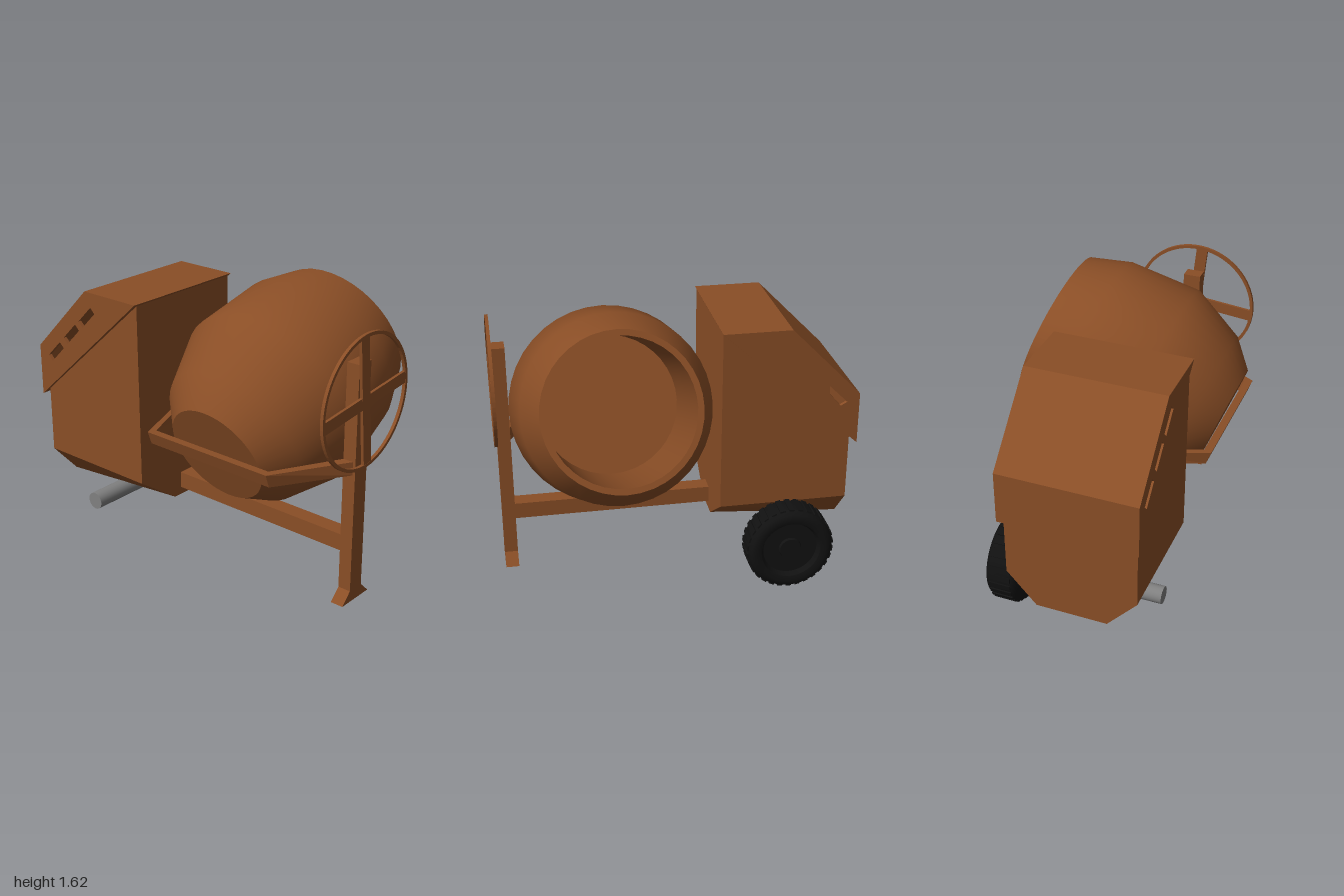
import * as THREE from 'three';
import { toCreasedNormals } from 'three/addons/utils/BufferGeometryUtils.js';
import { ConvexGeometry } from 'three/addons/geometries/ConvexGeometry.js';

const V2 = (p) => new THREE.Vector2(p[0], p[1]);
const CX = -0.143; // shared centre line of post, beam and housing

export function createModel() {
  const model = new THREE.Group();
  const paint = new THREE.MeshStandardMaterial({ color: 0x8a4e26 });
  const rubber = new THREE.MeshStandardMaterial({ color: 0x111111 });
  const steel = new THREE.MeshStandardMaterial({ color: 0x808080 });
  paint.name = 'brownPaint';
  rubber.name = 'blackRubber';
  steel.name = 'greySteel';

  const add = (name, geometry, material, parent = model) => {
    const mesh = new THREE.Mesh(geometry, material);
    mesh.name = name;
    parent.add(mesh);
    return mesh;
  };
  const box = (name, x0, x1, y0, y1, z0, z1, parent) => {
    const mesh = add(name, new THREE.BoxGeometry(x1 - x0, y1 - y0, z1 - z0), paint, parent);
    mesh.position.set((x0 + x1) / 2, (y0 + y1) / 2, (z0 + z1) / 2);
    return mesh;
  };
  const extrude = (outline, depth, holes = []) => {
    const shape = new THREE.Shape(outline.map(V2));
    holes.forEach((h) => shape.holes.push(new THREE.Path(h.map(V2))));
    return new THREE.ExtrudeGeometry(shape, { depth, bevelEnabled: false, curveSegments: 32 });
  };
  // Side profile given as [z, y], spanning x0..x1
  const sideExtrude = (outline, x0, x1, holes) =>
    extrude(outline, x1 - x0, holes).rotateY(-Math.PI / 2).translate(x1, 0, 0);
  const lathe = (points, segments) =>
    toCreasedNormals(new THREE.LatheGeometry(points.map(V2), segments), 0.7);

  // Tilted mixing drum with a thick rim and a cylindrical mouth
  const drum = add('drum', lathe([
    [0, -0.428], [0.29, -0.428], [0.43, -0.283], [0.557, 0.034], [0.515, 0.445],
    [0.426, 0.672], [0.393, 0.672], [0.393, 0.02], [0, 0.02],
  ], 40), paint);
  drum.position.set(-0.14, 0.98, 0.35);
  drum.rotation.z = -THREE.MathUtils.degToRad(69);

  // Front post with flared foot, and the beam to the housing
  add('frontPost', extrude([
    [-0.26, 0.035], [-0.03, 0.035], [-0.095, 0.1], [-0.095, 1.38],
    [-0.195, 1.38], [-0.195, 0.1],
  ], 0.075).translate(0, 0, 0.907), paint);
  box('lowerBeam', -0.193, -0.097, 0.32, 0.415, -0.24, 0.91);

  // Tilting handwheel
  const handwheel = new THREE.Group();
  handwheel.name = 'handwheel';
  handwheel.position.set(-0.145, 1.173, 0.982);
  handwheel.rotation.z = 0.095;
  model.add(handwheel);
  const ring = new THREE.Shape().absarc(0, 0, 0.365, 0, Math.PI * 2);
  ring.holes.push(new THREE.Path().absarc(0, 0, 0.347, 0, Math.PI * 2, true));
  add('handwheelRim', new THREE.ExtrudeGeometry(ring,
    { depth: 0.018, bevelEnabled: false, curveSegments: 40 }), paint, handwheel);
  box('handwheelSpokeAcross', -0.35, 0.35, -0.033, 0.033, 0, 0.016, handwheel);
  box('handwheelSpokeUp', -0.033, 0.033, -0.35, 0.35, 0, 0.017, handwheel);

  // U-shaped yoke around the back of the drum, its section leaning with the drum
  const yoke = extrude([
    [-0.19, -0.97], [-0.59, -0.73], [-0.59, 0.08], [-0.2, 0.235], [-0.1, 0.235],
    [-0.1, 0.21], [-0.2, 0.205], [-0.545, 0.06], [-0.545, -0.71], [-0.19, -0.91],
  ], 0.075).rotateX(-Math.PI / 2).translate(0, 0.778, 0);
  const pos = yoke.attributes.position;
  for (let i = 0; i < pos.count; i++) {
    if (pos.getX(i) < -0.5) pos.setX(i, pos.getX(i) - (pos.getY(i) - 0.815) * 0.36);
  }
  yoke.computeVertexNormals();
  add('yoke', yoke, paint);

  // Motor housing with sloping top and tapered base
  const corners = [];
  for (const s of [-1, 1]) {
    for (const [half, y, z] of [
      [0.367, 1.5, -0.23], [0.367, 0.46, -0.23], [0.367, 0.46, -0.96], [0.367, 0.845, -0.96],
      [0.1, 0.275, -0.23], [0.2, 0.275, -0.96],
    ]) corners.push(new THREE.Vector3(CX + s * half, y, z));
  }
  add('motorHousing', new ConvexGeometry(corners), paint);

  // Hollow cover: two side panels joined by a bent sheet
  const panel = [[-0.225, 1.51], [-0.605, 1.51], [-1, 1.11], [-1, 0.81]];
  const slots = [[-0.6, 1.36], [-0.73, 1.235], [-0.865, 1.1]].map(([z, y]) => [
    [z + 0.065, y + 0.035], [z + 0.035, y + 0.065],
    [z - 0.065, y - 0.035], [z - 0.035, y - 0.065],
  ]);
  const smallVent = [[-0.823, 1.17], [-0.93, 1.065], [-0.893, 1.045], [-0.828, 1.12]];
  add('coverRightPanel', sideExtrude(panel, -0.53, -0.51, slots), paint);
  add('coverLeftPanel', sideExtrude(panel, 0.225, 0.245, [smallVent]), paint);
  add('coverSheet', sideExtrude([
    ...panel, [-0.96, 0.845], [-0.96, 1.1], [-0.597, 1.49], [-0.247, 1.49],
  ], -0.51, 0.225), paint);

  // Axle and the single road wheel
  const axle = add('axle', new THREE.CylinderGeometry(0.05, 0.05, 0.83, 24), steel);
  axle.rotation.z = Math.PI / 2;
  axle.position.set(-0.115, 0.237, -0.6);

  const wheel = new THREE.Group();
  wheel.name = 'roadWheel';
  wheel.position.set(0.335, 0.25, -0.6);
  wheel.rotation.z = -Math.PI / 2;
  model.add(wheel);
  const half = [[0, 0.07], [0.06, 0.07], [0.065, 0.055], [0.155, 0.055], [0.17, 0.085],
    [0.2, 0.095], [0.228, 0.085], [0.243, 0.06]];
  add('tyre', lathe([
    ...half.map(([r, h]) => [r, -h]), ...half.slice().reverse(),
  ], 40), rubber, wheel);
  // Tread blocks
  const count = 30;
  for (let i = 0; i < count; i++) {
    const a = (i / count) * Math.PI * 2;
    const block = add('treadBlock', new THREE.BoxGeometry(0.03, 0.125, 0.03), rubber, wheel);
    block.position.set(Math.cos(a) * 0.2345, 0, Math.sin(a) * 0.2345);
    block.rotation.y = -a;
  }
  return model;
}
